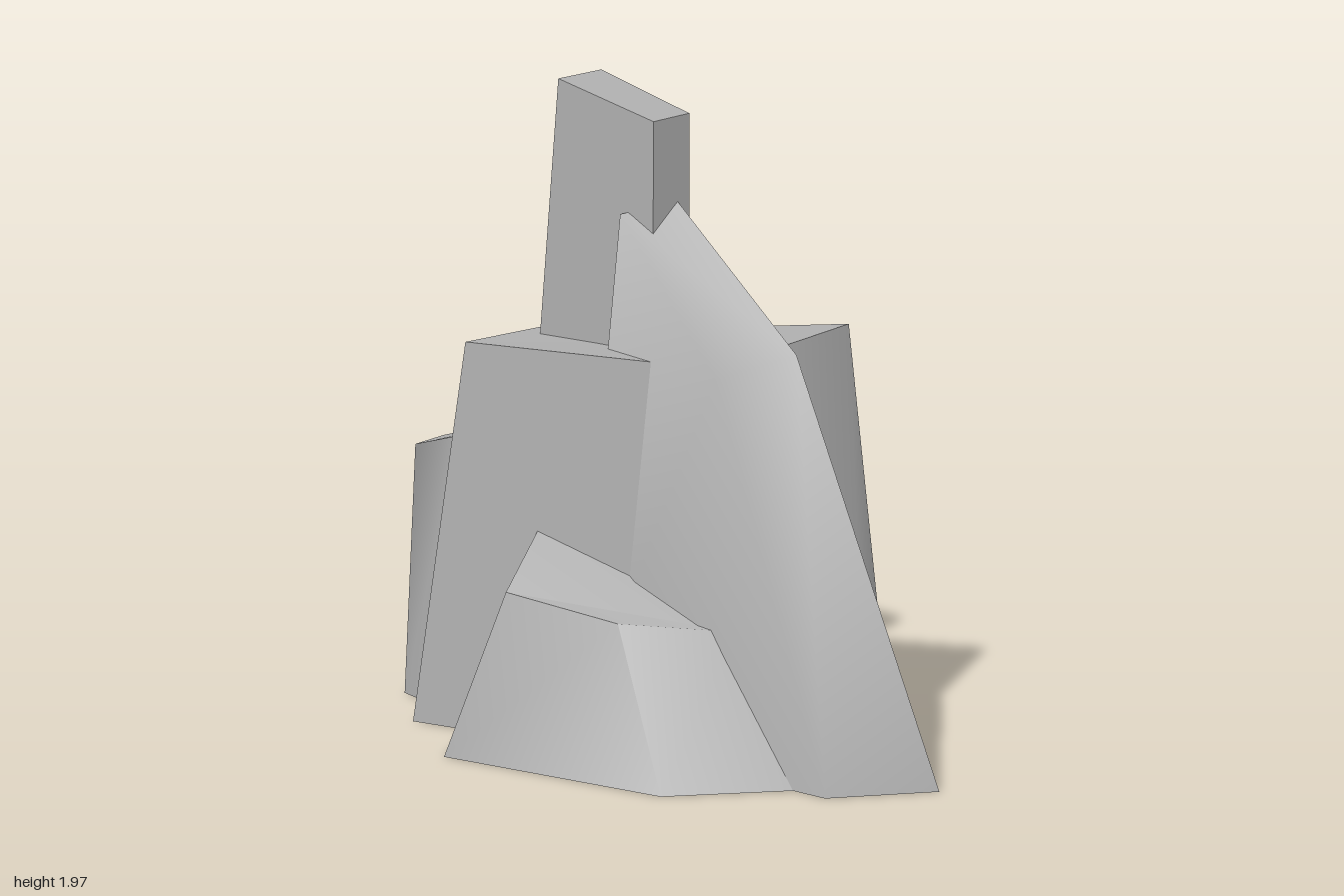
import * as THREE from 'three';
import { toCreasedNormals } from 'three/addons/utils/BufferGeometryUtils.js';

const stone = new THREE.MeshStandardMaterial({ color: 0xb0b0b0, side: THREE.DoubleSide });
stone.name = 'grey stone';

// One tapered boulder: ground outline [x, z], top outline [x, y, z], both
// counter-clockwise from above; open underneath.
function boulder(name, base, top) {
  const n = base.length;
  const points = [...base.map(([x, z]) => [x, 0, z]), ...top];
  const index = [];
  for (let i = 0; i < n; i++) {
    const j = (i + 1) % n;
    index.push(i, j, n + j, i, n + j, n + i);
  }
  for (let i = 1; i < n - 1; i++) index.push(n, n + i, n + i + 1);
  const geometry = new THREE.BufferGeometry();
  geometry.setAttribute('position', new THREE.Float32BufferAttribute(points.flat(), 3));
  geometry.setIndex(index);
  const mesh = new THREE.Mesh(toCreasedNormals(geometry, 1.2), stone);
  mesh.name = name;
  return mesh;
}

export function createModel() {
  const group = new THREE.Group();
  group.name = 'rockFormation';
  group.add(
    // tall central pillar and the rock leaning on its back
    boulder('spire',
      [[-0.6, 0.1], [-0.02, 0.1], [-0.02, -0.07], [-0.58, -0.09]],
      [[-0.41, 1.97, 0.1], [-0.03, 1.9, 0.08], [-0.03, 1.9, -0.07], [-0.4, 1.97, -0.07]]),
    boulder('backSpire',
      [[0, -0.02], [-0.12, -0.28], [-0.6, -0.2], [-0.55, 0.02]],
      [[-0.12, 1.86, -0.02], [-0.22, 1.7, -0.24], [-0.5, 1.61, -0.12], [-0.46, 1.63, 0.02]]),
    // long sloping slab on the +x side
    boulder('slopingSlab',
      [[-0.25, 0.2], [0.82, 0.21], [1, -0.09], [0.2, -0.2]],
      [[-0.15, 1.6, 0.1], [0.42, 1.22, 0.27], [0.57, 1.29, 0.08], [-0.03, 1.64, -0.02]]),
    // broad shoulder rocks
    boulder('frontShoulder',
      [[-0.73, 0.39], [0.15, 0.22], [0.2, -0.1], [-0.3, -0.3], [-0.73, -0.22]],
      [[-0.59, 1.17, 0.31], [0.08, 1.2, 0.18], [0.1, 1.2, -0.1], [-0.25, 1.19, -0.22], [-0.52, 1.18, -0.18]]),
    boulder('backShoulder',
      [[0.64, -0.14], [0.46, -0.43], [-0.05, -0.43], [-0.4, -0.28]],
      [[0.24, 1.2, -0.02], [0.2, 1.22, -0.51], [-0.1, 1.18, -0.4], [-0.3, 1.1, -0.22]]),
    // low rocks around the foot
    boulder('backFoot',
      [[0.08, -0.47], [-0.1, -0.59], [-0.37, -0.6], [-0.56, -0.27]],
      [[-0.03, 0.77, -0.4], [-0.13, 0.77, -0.64], [-0.35, 0.77, -0.65], [-0.48, 0.77, -0.22]]),
    boulder('sideFoot',
      [[-1, 0.155], [-0.73, 0.23], [-0.5, 0.1], [-0.73, -0.1], [-1, -0.04]],
      [[-0.98, 0.76, 0.13], [-0.73, 0.84, 0.2], [-0.55, 0.9, 0.1], [-0.55, 0.9, -0.06], [-1, 0.76, -0.01]]),
    boulder('frontFoot',
      [[-0.35, 0.64], [0.46, 0.54], [0.69, 0.2], [-0.54, 0.33]],
      [[-0.2, 0.51, 0.53], [0.2, 0.47, 0.46], [0.4, 0.43, 0.17], [-0.33, 0.65, 0.25]]),
  );
  return group;
}
